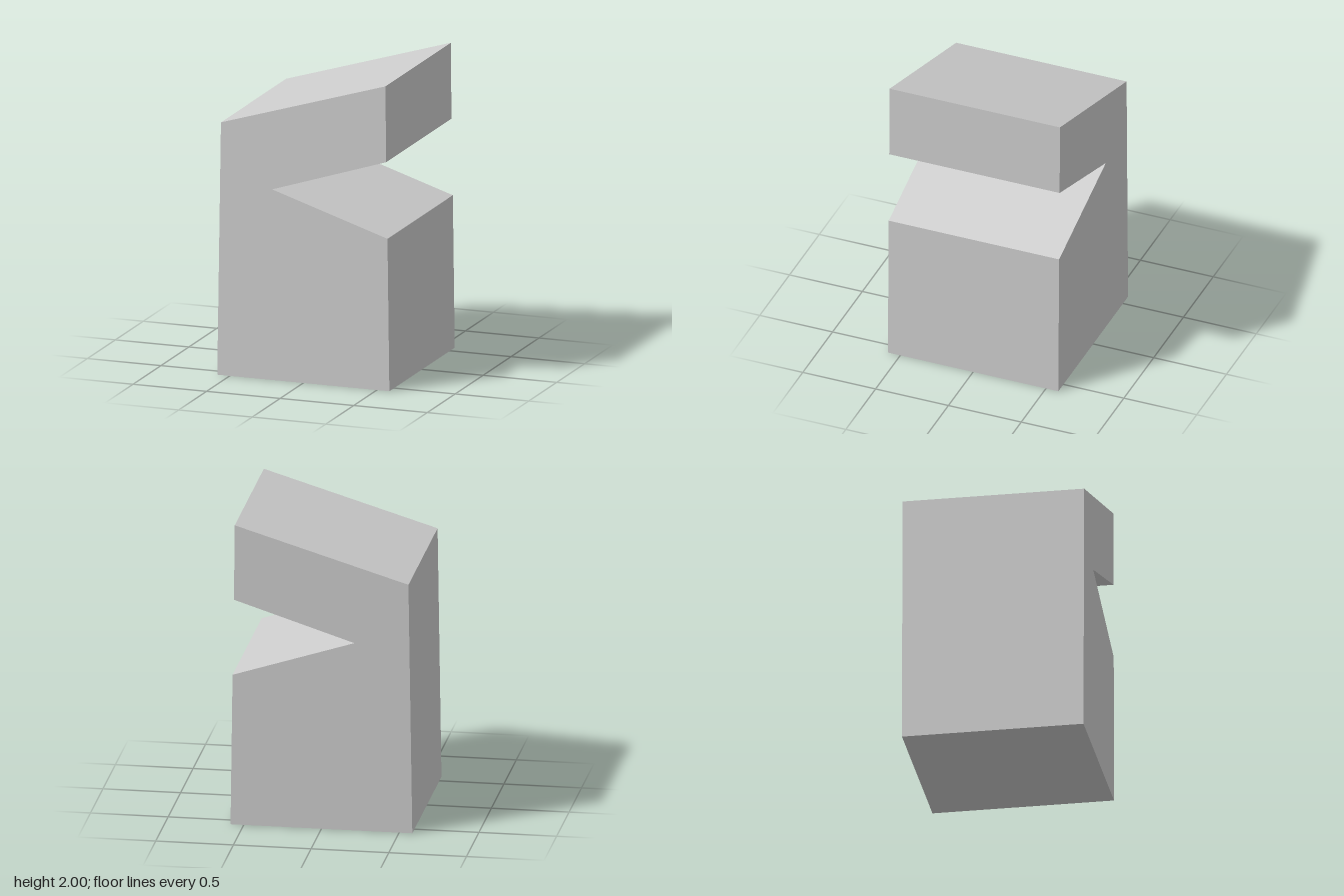
import * as THREE from 'three';

const DEPTH = 1.17;

export function createModel() {
  const group = new THREE.Group();
  group.name = 'notchedBlock';

  const lightGrey = new THREE.MeshStandardMaterial({ color: 0xcccccc });
  lightGrey.name = 'lightGrey';

  // Side profile: slightly tapered tower, sloped roof, wedge notch on the +x side
  const profile = new THREE.Shape([
    [-0.585, 0], [0.585, 0],
    [0.572, 1.0], [-0.212, 1.252], [0.563, 1.502],
    [0.558, 2.0], [-0.56, 1.66],
  ].map(([x, y]) => new THREE.Vector2(x, y)));

  // Extruded body, centred on z
  const geometry = new THREE.ExtrudeGeometry(profile, { depth: DEPTH, bevelEnabled: false });
  geometry.translate(0, 0, -DEPTH / 2);

  const body = new THREE.Mesh(geometry, lightGrey);
  body.name = 'body';
  group.add(body);
  return group;
}
